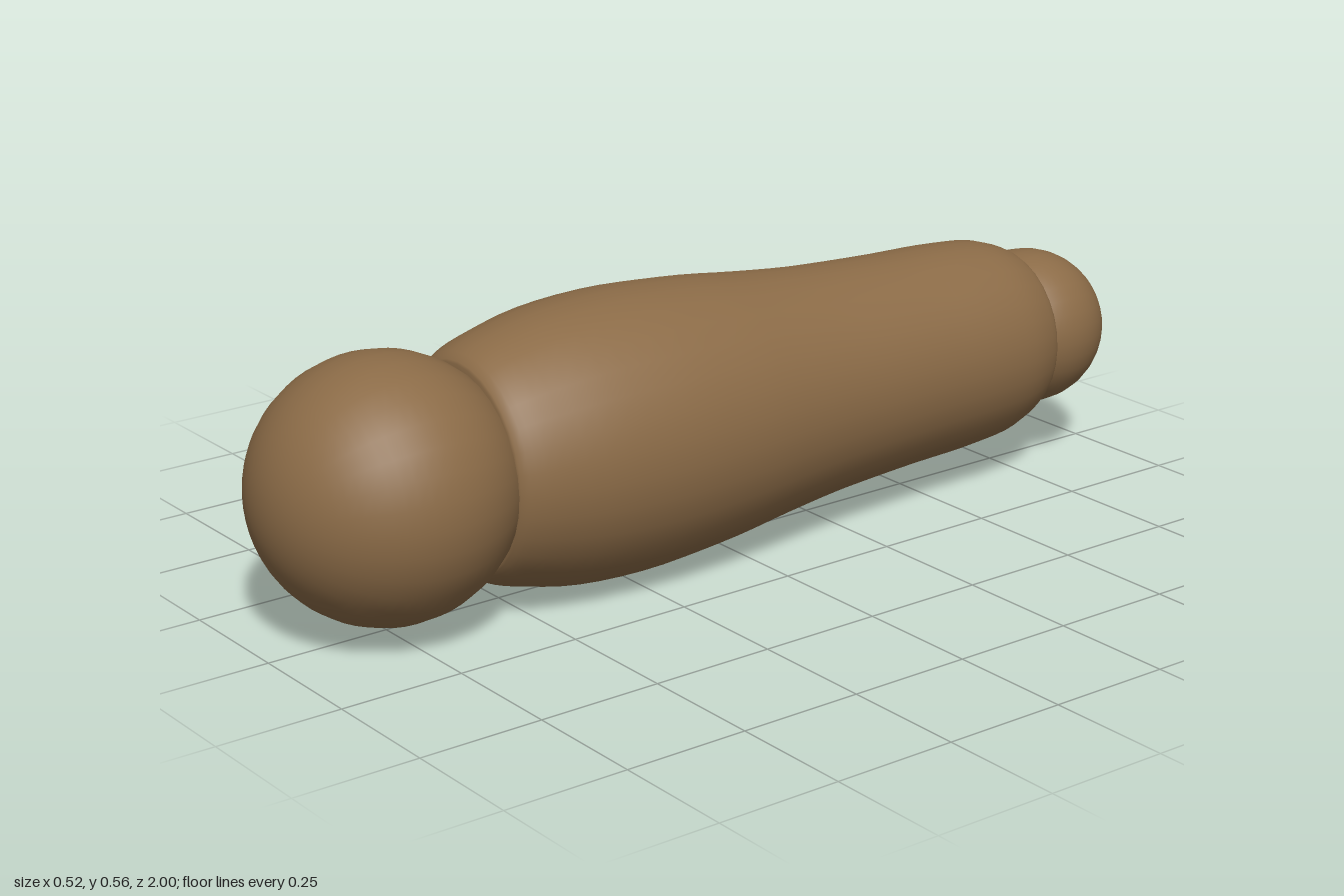
import * as THREE from 'three';

export function createModel() {
  const model = new THREE.Group();
  const material = new THREE.MeshStandardMaterial({ color: 0x8b6b47 });
  const axisY = 0.28;

  // Adds a part whose geometry axis is turned from y to z
  function addPart(name, geometry, z) {
    geometry.rotateX(Math.PI / 2);
    const mesh = new THREE.Mesh(geometry, material);
    mesh.name = name;
    mesh.position.set(0, axisY, z);
    model.add(mesh);
    return mesh;
  }

  // Handle: smooth swelling profile as [z, radius], slightly narrower in x
  const outline = [
    [-0.785, 0.165], [-0.765, 0.182], [-0.7, 0.205], [-0.6, 0.215], [-0.45, 0.22],
    [-0.25, 0.232], [-0.1, 0.248], [0.05, 0.267], [0.22, 0.278], [0.38, 0.27],
    [0.5, 0.245], [0.56, 0.222], [0.58, 0.203],
  ].map(([z, r]) => new THREE.Vector2(r, z));
  const profile = [
    new THREE.Vector2(0, -0.79),
    new THREE.Vector2(0.145, -0.79),
    ...new THREE.SplineCurve(outline).getPoints(40),
    new THREE.Vector2(0.18, 0.583),
    new THREE.Vector2(0, 0.583),
  ];
  addPart('handle', new THREE.LatheGeometry(profile, 32), 0).scale.x = 0.944;

  // Rounded knobs at both ends
  addPart('frontKnob', new THREE.SphereGeometry(0.255, 32, 32), 0.745);
  addPart('backKnob', new THREE.SphereGeometry(0.161, 32, 32), -0.839);

  return model;
}
